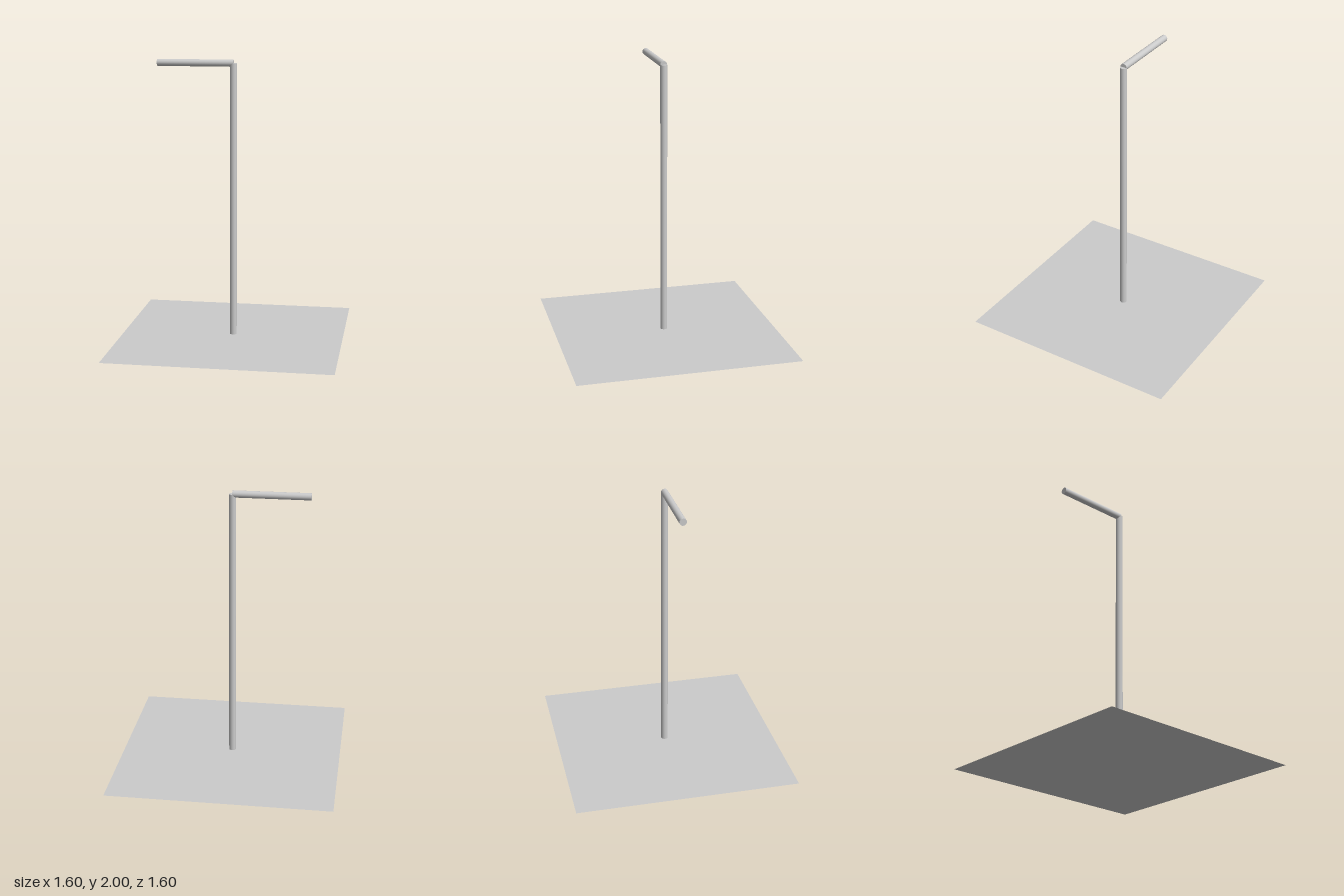
import * as THREE from 'three';

const RADIUS = 0.025;
const ARM_Y = 2 - RADIUS;
const ARM_LENGTH = 0.545;

export function createModel() {
  const model = new THREE.Group();
  const grey = new THREE.MeshStandardMaterial({ color: 0xcccccc });
  const thinGrey = new THREE.MeshStandardMaterial({ color: 0xcccccc, side: THREE.DoubleSide });

  const add = (name, geometry, material) => {
    const mesh = new THREE.Mesh(geometry, material);
    mesh.name = name;
    model.add(mesh);
    return mesh;
  };
  const rod = (length) => new THREE.CylinderGeometry(RADIUS, RADIUS, length, 16);

  // Flat square ground sheet
  add('groundPlate', new THREE.PlaneGeometry(1.6, 1.6).rotateX(-Math.PI / 2), thinGrey);

  // Upright pole, ending at the centre line of the arm
  add('pole', rod(ARM_Y), grey).position.y = ARM_Y / 2;

  // Horizontal arm reaching out to the right from the top of the pole
  add('arm', rod(ARM_LENGTH).rotateZ(Math.PI / 2), grey).position.set(-ARM_LENGTH / 2, ARM_Y, 0);

  return model;
}
